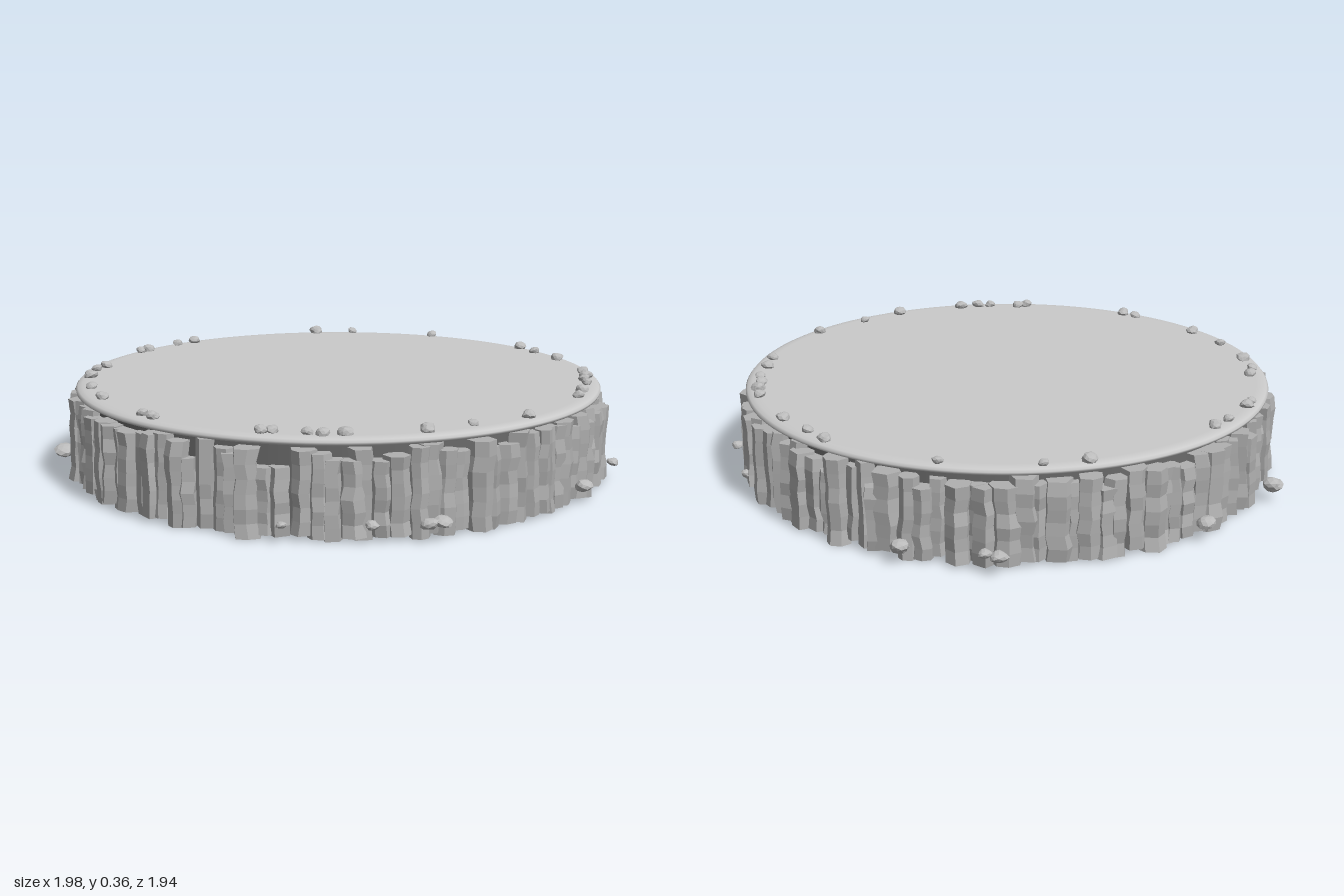
import * as THREE from 'three';
import { mergeGeometries } from 'three/addons/utils/BufferGeometryUtils.js';

// small seeded generator
let seed = 7;
function rand(a = 0, b = 1) {
  seed = (seed * 16807) % 2147483647;
  return a + (b - a) * (seed / 2147483647);
}

// wavy, irregular stone prism standing from y0 to y1
function columnGeometry(radius, y0, y1) {
  const sides = 5 + Math.floor(rand(0, 3)), rows = 6;
  const corner = Array.from({ length: sides }, () => rand(0.85, 1.15));
  const ring = Array.from({ length: rows + 1 }, () => [rand(-0.005, 0.005), rand(-0.005, 0.005), rand(0.92, 1.06)]);
  const g = new THREE.CylinderGeometry(1, 1, 1, sides, rows);
  const p = g.attributes.position;
  for (let i = 0; i < p.count; i++) {
    const x = p.getX(i), y = p.getY(i) + 0.5, z = p.getZ(i);
    const a = Math.round(Math.atan2(x, z) / (2 * Math.PI) * sides);
    const [dx, dz, s] = ring[Math.round(y * rows)];
    const r = radius * s * corner[(a + sides) % sides];
    p.setXYZ(i, x * r + dx, y0 + (y1 - y0) * y, z * r + dz);
  }
  g.rotateY(rand(0, 6.28));
  return g;
}

// rounded, slightly lumpy stone
function pebbleGeometry(x, y, z, r, flat) {
  const g = new THREE.IcosahedronGeometry(r, 1);
  const p = g.attributes.position, phase = rand(0, 6);
  for (let i = 0; i < p.count; i++) {
    const px = p.getX(i), py = p.getY(i), pz = p.getZ(i);
    const s = 1 + 0.13 * Math.sin(phase + (px * 2.1 + py * 3.3 + pz * 1.7) / r);
    p.setXYZ(i, px * s, py * s * flat, pz * s);
  }
  g.rotateY(rand(0, 6.28));
  g.translate(x, y, z);
  return g;
}

// merge and give every face its own normal
function faceted(list) {
  const g = mergeGeometries(list.map((q) => (q.index ? q.toNonIndexed() : q)));
  g.computeVertexNormals();
  return g;
}

export function createModel() {
  seed = 7;
  const group = new THREE.Group();
  const material = (name, color) => {
    const m = new THREE.MeshStandardMaterial({ color });
    m.name = name;
    return m;
  };
  const capStone = material('pale stone', 0xcacaca);
  const columnStone = material('column stone', 0xb0b0b0);
  const pebbleStone = material('pebble stone', 0xbababa);
  const coreStone = material('dark core stone', 0x6a6a6a);
  const cx = 0.015;
  const add = (name, geometry, mat, x = 0) => {
    const mesh = new THREE.Mesh(geometry, mat);
    mesh.name = name;
    mesh.position.x = x;
    group.add(mesh);
  };

  // solid core behind the columns
  const core = new THREE.CylinderGeometry(0.9, 0.9, 0.29, 96);
  core.translate(0, 0.165, 0);
  add('core', core, coreStone, cx);

  // round cap with a softened rim
  const profile = [[0.88, 0.305], [0.932, 0.307], [0.943, 0.313], [0.945, 0.321],
    [0.938, 0.329], [0.922, 0.334], [0.9, 0.335], [0, 0.335]];
  add('cap', new THREE.LatheGeometry(profile.map(([x, y]) => new THREE.Vector2(x, y)), 128), capStone, cx);

  // ring of upright columns
  const columns = [];
  const count = 108;
  for (let i = 0; i < count; i++) {
    const a = (i + rand(-0.3, 0.3)) / count * Math.PI * 2;
    const top = rand() < 0.2 ? rand(0.23, 0.27) : rand(0.27, 0.305);
    const g = columnGeometry(rand(0.034, 0.05), i % 5 === 0 ? 0 : rand(0.002, 0.02), top);
    const d = rand(0.902, 0.93);
    g.translate(Math.sin(a) * d, 0, Math.cos(a) * d);
    columns.push(g);
  }
  add('columns', faceted(columns), columnStone, cx);

  // pebbles lying along the rim, as x and z
  const rim = [[0.03, -0.91], [0.13, -0.89], [0.28, -0.86], [-0.39, -0.82], [-0.66, -0.62], [-0.75, -0.5],
    [0.52, -0.75], [0.58, -0.7], [0.62, -0.65], [0.67, -0.61], [0.74, -0.51], [0.8, -0.43], [0.91, -0.08],
    [0.88, 0.14], [0.85, 0.31], [-0.88, 0.02], [-0.88, 0.1], [-0.85, 0.26], [-0.84, 0.3], [-0.67, 0.56],
    [-0.64, 0.62], [-0.55, 0.7], [-0.38, 0.8], [-0.21, 0.86], [0.09, 0.89], [0.15, 0.89], [0.72, 0.54],
    [0.68, 0.6], [0.64, 0.63], [0.55, 0.7], [0.53, 0.73]];
  add('rimPebbles', faceted(rim.map(([x, z]) => pebbleGeometry(x, 0.343, z, rand(0.018, 0.026), 0.75))), pebbleStone);

  // pebbles wedged low against the columns, as x, z and radius
  const low = [[-0.32, -0.93, 0.034], [-0.62, -0.79, 0.03], [-0.57, -0.8, 0.024], [-0.965, -0.14, 0.034],
    [-0.95, 0.29, 0.036], [-0.6, 0.79, 0.038], [-0.68, 0.67, 0.024], [0.93, -0.33, 0.03], [0.95, 0.33, 0.03],
    [0.94, 0.38, 0.03], [0.84, 0.53, 0.022], [0.66, 0.75, 0.018], [0.53, -0.82, 0.02], [0.77, -0.65, 0.022]];
  add('lowPebbles', faceted(low.map(([x, z, r]) => pebbleGeometry(x, 0.063, z, r, 0.68))), pebbleStone);

  return group;
}
